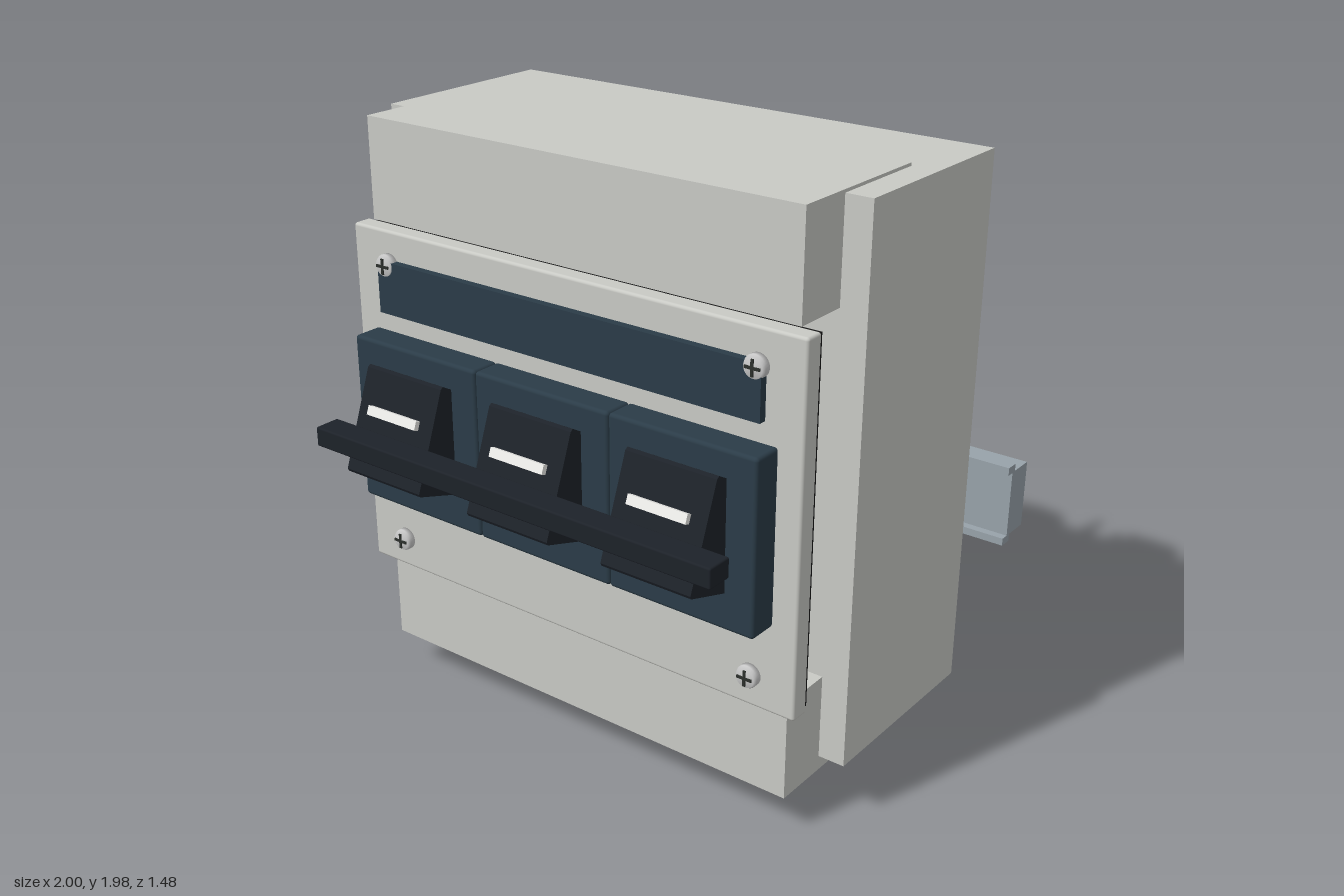
import * as THREE from 'three';
import { RoundedBoxGeometry } from 'three/addons/geometries/RoundedBoxGeometry.js';

const mat = (color) => new THREE.MeshStandardMaterial({ color });
const M = {
  shell: mat(0xc9cac5), navy: mat(0x2b3c48), black: mat(0x1d2229), rubber: mat(0x161616),
  steel: mat(0xc4c7c8), rail: mat(0x98a3aa), brass: mat(0xc49a48), copper: mat(0x8a4a20),
  housing: mat(0x2c302c), white: mat(0xeeeeea),
};

function add(parent, name, geometry, material, x = 0, y = 0, z = 0) {
  const mesh = new THREE.Mesh(geometry, material);
  mesh.name = name;
  mesh.position.set(x, y, z);
  parent.add(mesh);
  return mesh;
}

// Box given by its limits on each axis, optionally with rounded edges
function box(parent, name, material, [x0, x1], [y0, y1], [z0, z1], r = 0) {
  const s = [x1 - x0, y1 - y0, z1 - z0];
  const g = r ? new RoundedBoxGeometry(...s, 3, r) : new THREE.BoxGeometry(...s);
  return add(parent, name, g, material, (x0 + x1) / 2, (y0 + y1) / 2, (z0 + z1) / 2);
}

// Side profile of [z, y] points, swept along x and centred on it
function sweepX(parent, name, material, points, width, x = 0) {
  const shape = new THREE.Shape(points.map(([z, y]) => new THREE.Vector2(-z, y)));
  const g = new THREE.ExtrudeGeometry(shape, { depth: width, bevelEnabled: false });
  g.translate(0, 0, -width / 2).rotateY(Math.PI / 2);
  return add(parent, name, g, material, x);
}

// Screw whose head faces +z and whose shank runs to -z
function screw(name, headRadius, headDepth, shankLength, cross) {
  const g = new THREE.Group();
  g.name = name;
  const r = headRadius, d = headDepth;
  const profile = [[0, 0], [r, 0], [r, d * 0.6], [r * 0.85, d * 0.9], [0, d]]
    .map(([a, b]) => new THREE.Vector2(a, b));
  add(g, 'screwHead', new THREE.LatheGeometry(profile, 28).rotateX(Math.PI / 2), M.steel);
  add(g, 'screwShank', new THREE.CylinderGeometry(r * 0.42, r * 0.3, shankLength, 16).rotateX(Math.PI / 2),
    M.steel, 0, 0, -shankLength / 2);
  for (let i = 1; i < 6; i++) {
    add(g, 'screwThread', new THREE.TorusGeometry(r * 0.45, r * 0.09, 6, 18), M.steel, 0, 0, -shankLength * i / 6);
  }
  for (let i = 0; i < (cross ? 2 : 1); i++) {
    const slot = add(g, 'screwSlot', new THREE.BoxGeometry(r * 1.4, r * 0.24, 0.006), M.housing, 0, 0, d * 0.98);
    slot.rotation.z = i * Math.PI / 2 + (cross ? 0 : 0.4);
  }
  return g;
}

// One clamp: open-topped housing, brass cage, pressure plate, screw and tag
function terminal() {
  const g = new THREE.Group();
  g.name = 'terminal';
  for (const s of [-1, 1]) {
    box(g, 'housingSide', M.housing, [s * 0.125 - 0.012, s * 0.125 + 0.012], [0.02, 0.225], [-0.69, -0.55]);
  }
  box(g, 'housingFloor', M.housing, [-0.125, 0.125], [0.015, 0.035], [-0.69, -0.55]);
  const cage = new THREE.Shape();
  cage.moveTo(-0.11, 0.035).lineTo(0.11, 0.035).lineTo(0.11, 0.2).lineTo(-0.11, 0.2).closePath();
  const opening = new THREE.Path();
  opening.moveTo(-0.06, 0.05).lineTo(-0.06, 0.11).absarc(0, 0.11, 0.06, Math.PI, 0, true).lineTo(0.06, 0.05).closePath();
  cage.holes.push(opening);
  add(g, 'brassCage', new THREE.ExtrudeGeometry(cage, { depth: 0.115, bevelEnabled: false }), M.brass, 0, 0, -0.68);
  box(g, 'pressurePlate', M.steel, [-0.082, 0.082], [0.06, 0.215], [-0.645, -0.565]);
  box(g, 'brassTongue', M.brass, [-0.04, 0.04], [0.05, 0.12], [-0.69, -0.6]);
  box(g, 'tag', M.white, [-0.1, 0.1], [0.2, 0.275], [-0.676, -0.668]);
  const s = screw('clampScrew', 0.054, 0.035, 0.1, false);
  s.position.set(0, 0.165, -0.703);
  s.rotation.y = Math.PI;
  g.add(s);
  return g;
}

// Row of three terminals on a shelf with dividers
function terminalRow(name, y) {
  const g = new THREE.Group();
  g.name = name;
  box(g, 'rowBase', M.navy, [-0.68, 0.68], [0, 0.305], [-0.55, -0.48], 0.02);
  box(g, 'shelf', M.navy, [-0.68, 0.68], [0, 0.02], [-0.705, -0.5]);
  for (const x of [-0.25, 0.25]) {
    sweepX(g, 'divider', M.navy,
      [[-0.5, 0], [-0.705, 0], [-0.705, 0.28], [-0.697, 0.298], [-0.68, 0.305], [-0.5, 0.305]], 0.016, x);
  }
  [M.copper, M.housing, M.steel].forEach((material, i) => {
    const x = (i - 1) * 0.5;
    const t = terminal();
    t.position.x = x;
    g.add(t);
    box(g, 'contactTab', material, [x - 0.1, x + 0.1], [-0.042, 0.005], [-0.665, -0.605], 0.008);
  });
  g.position.y = y;
  return g;
}

export function createModel() {
  const root = new THREE.Group();
  root.name = 'switchUnit';

  // Enclosure
  box(root, 'body', M.shell, [-0.905, 0.905], [0.18, 1.97], [-0.48, 0.2]);
  box(root, 'upperCover', M.shell, [-0.815, 0.815], [1.645, 1.98], [-0.15, 0.39]);
  box(root, 'lowerCover', M.shell, [-0.815, 0.815], [0.13, 0.465], [-0.15, 0.39]);

  // Front plate with gasket, name strip and corner screws
  box(root, 'gasket', M.rubber, [-0.85, 0.85], [0.45, 1.625], [0.342, 0.368]);
  box(root, 'frontPlate', M.shell, [-0.865, 0.865], [0.442, 1.635], [0.365, 0.432], 0.01);
  box(root, 'nameStrip', M.navy, [-0.74, 0.735], [1.365, 1.54], [0.43, 0.458]);
  for (const x of [-0.71, 0.71]) for (const y of [0.55, 1.525]) {
    const s = screw('plateScrew', 0.037, 0.032, 0.11, true);
    s.position.set(x, y, 0.434);
    root.add(s);
    add(root, 'screwNut', new THREE.CylinderGeometry(0.013, 0.013, 0.02, 16).rotateX(Math.PI / 2),
      M.housing, x, y, 0.333);
  }

  // Three switch modules with tilted toggles, joined by a handle bar
  for (const i of [-1, 0, 1]) {
    const x = i * 0.5225;
    box(root, 'switchModule', M.navy, [x - 0.261, x + 0.261], [0.735, 1.3], [0.43, 0.535], 0.012);
    sweepX(root, 'toggle', M.black,
      [[0.5, 1.215], [0.535, 1.215], [0.57, 1.235], [0.58, 1.228], [0.697, 0.915], [0.692, 0.905], [0.535, 0.855], [0.5, 0.855]],
      0.32, x);
    const mark = add(root, 'indicator', new THREE.BoxGeometry(0.21, 0.03, 0.018), M.white, x, 1.112, 0.636);
    mark.rotation.x = -0.37;
  }
  box(root, 'handleBar', M.black, [-0.775, 0.775], [0.982, 1.048], [0.645, 0.735], 0.006);

  // Back panel, rail holder and mounting rail
  box(root, 'backPanel', M.navy, [-0.68, 0.68], [0.2, 1.87], [-0.49, -0.47]);
  box(root, 'railHolder', M.navy, [-0.8, 0.8], [0.785, 1.1], [-0.675, -0.48]);
  sweepX(root, 'mountingRail', M.rail, [
    [-0.605, 0.675], [-0.605, 0.9], [-0.577, 0.9], [-0.577, 0.927], [-0.622, 0.927], [-0.622, 0.902],
    [-0.708, 0.902], [-0.708, 0.675], [-0.622, 0.675], [-0.622, 0.65], [-0.577, 0.65], [-0.577, 0.675],
  ].reverse(), 2);

  // Terminal rows
  root.add(terminalRow('inputTerminals', 1.567));
  root.add(terminalRow('outputTerminals', 0.2));

  // Spring-loaded release bar below
  box(root, 'releaseBar', M.housing, [-0.338, 0.338], [0, 0.095], [-0.525, -0.39], 0.01);
  const coil = [];
  for (let i = 0; i <= 64; i++) {
    const a = i / 64 * Math.PI * 7;
    coil.push(new THREE.Vector3(Math.cos(a) * 0.038, 0.088 + 0.097 * i / 64, -0.435 + Math.sin(a) * 0.038));
  }
  add(root, 'releaseSpring', new THREE.TubeGeometry(new THREE.CatmullRomCurve3(coil), 128, 0.006, 6), M.steel);

  return root;
}
